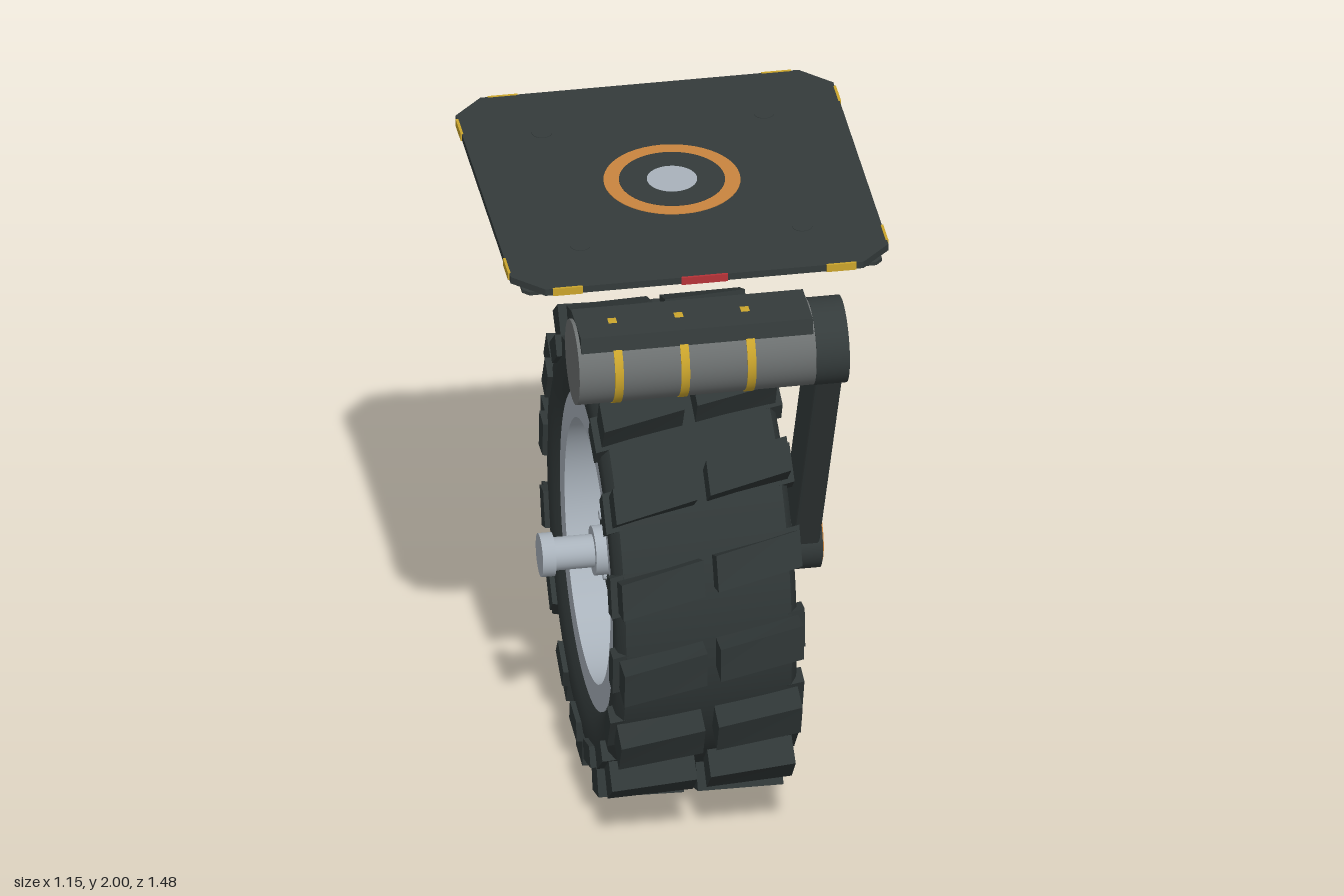
import * as THREE from 'three';
import { toCreasedNormals } from 'three/addons/utils/BufferGeometryUtils.js';

const mat = (name, color) => {
  const m = new THREE.MeshStandardMaterial({ color });
  m.name = name;
  return m;
};

export function createModel() {
  const dark = mat('dark paint', 0x343b3b);
  const rubber = mat('rubber', 0x2f3636);
  const black = mat('black panel', 0x1c2021);
  const grey = mat('grey casing', 0x6c7070);
  const metal = mat('light metal', 0xa9b2bb);
  const orange = mat('orange', 0xc9853f);
  const yellow = mat('yellow', 0xcba52c);
  const red = mat('red', 0xb63237);

  const model = new THREE.Group();
  const add = (name, geo, material, x = 0, y = 0, z = 0, parent = model) => {
    const m = new THREE.Mesh(geo, material);
    m.name = name;
    m.position.set(x, y, z);
    parent.add(m);
    return m;
  };
  const box = (w, h, d) => new THREE.BoxGeometry(w, h, d);
  const cyl = (r, h, n = 40) => new THREE.CylinderGeometry(r, r, h, n);
  const cylX = (r, x0, x1, n) => cyl(r, x1 - x0, n).rotateZ(-Math.PI / 2).translate((x0 + x1) / 2, 0, 0);
  // Lathe around x; profile entries are [radius, x]
  const latheX = (pts, n = 64) => toCreasedNormals(
    new THREE.LatheGeometry(pts.map(p => new THREE.Vector2(...p)), n).rotateZ(-Math.PI / 2), 0.6);
  const ringX = (r0, r1, x0, x1, n) => latheX([[r1, x0], [r1, x1], [r0, x1], [r0, x0], [r1, x0]], n);
  // Extrude a (z, y) outline along x
  const extrudeX = (pts, x0, x1, bevel = 0) => new THREE.ExtrudeGeometry(
    new THREE.Shape(pts.map(([z, y]) => new THREE.Vector2(-z, y))), {
      depth: x1 - x0 - 2 * bevel, bevelEnabled: bevel > 0, bevelSize: bevel,
      bevelThickness: bevel, bevelOffset: -bevel, bevelSegments: 2,
    }).rotateY(Math.PI / 2).translate(x0 + bevel, 0, 0);
  // Square plate with chamfered corners, between two heights
  const plate = (s, c, y0, y1) => {
    const k = s - c;
    const pts = [[k, -s], [s, -k], [s, k], [k, s], [-k, s], [-s, k], [-s, -k], [-k, -s]];
    return new THREE.ExtrudeGeometry(new THREE.Shape(pts.map(p => new THREE.Vector2(...p))),
      { depth: y1 - y0, bevelEnabled: false }).rotateX(-Math.PI / 2).translate(0, y0, 0);
  };

  // ---- Wheel ----
  const wheel = new THREE.Group();
  wheel.name = 'wheel';
  wheel.position.y = 0.74;
  model.add(wheel);
  const wadd = (name, geo, m) => add(name, geo, m, 0, 0, 0, wheel);

  wadd('tyre', latheX([
    [0.478, -0.25], [0.52, -0.268], [0.58, -0.275], [0.62, -0.27], [0.65, -0.25], [0.655, 0],
    [0.65, 0.25], [0.62, 0.27], [0.58, 0.275], [0.52, 0.268], [0.478, 0.25], [0.478, -0.25],
  ]), rubber);

  // A box bent round the axle, slanted along x
  const block = (x0, x1, r0, r1, angle, width, slant) => {
    const g = box(1, 1, 1), p = g.attributes.position;
    for (let i = 0; i < p.count; i++) {
      const x = x0 + (p.getX(i) + 0.5) * (x1 - x0);
      const r = r0 + (p.getY(i) + 0.5) * (r1 - r0);
      const t = angle + p.getZ(i) * width - slant * x;
      p.setXYZ(i, x, r * Math.cos(t), r * Math.sin(t));
    }
    g.computeVertexNormals();
    return g;
  };
  const deg = Math.PI / 180, lugs = 16, slant = 17 * deg;
  for (let i = 0; i < lugs; i++) {
    const a = i * 2 * Math.PI / lugs;
    wadd('treadLug', block(0.02, 0.27, 0.6, 0.742, a, 8.5 * deg, slant), rubber);
    wadd('treadLug', block(-0.27, -0.02, 0.6, 0.742, a, 8.5 * deg, slant), rubber);
    wadd('shoulderBlock', block(0.24, 0.29, 0.585, 0.65, a, 11 * deg, slant), rubber);
    wadd('shoulderBlock', block(-0.29, -0.24, 0.585, 0.65, a, 11 * deg, slant), rubber);
  }

  // Rim, disc and spokes, with open slots between disc and rim
  wadd('rim', ringX(0.4, 0.482, -0.255, 0.255), metal);
  wadd('wheelDisc', cylX(0.375, 0.15, 0.18, 64), metal);
  for (let i = 0; i < 6; i++) {
    const s = wadd('spoke', box(0.12, 0.32, 0.085).translate(0.08, 0.245, 0), grey);
    s.rotation.x = Math.PI / 2 + i * Math.PI / 3;
  }

  // Hub, flanges, bolts and axle
  wadd('hub', cylX(0.11, -0.16, 0.16), dark);
  wadd('outerFlange', cylX(0.16, 0.17, 0.2), dark);
  wadd('innerFlange', cylX(0.16, -0.19, -0.14), dark);
  for (let i = 0; i < 8; i++) {
    const a = (i + 0.5) * Math.PI / 4;
    const b = wadd('flangeBolt', cylX(0.014, -0.2, -0.18, 10), metal);
    b.position.set(0, 0.128 * Math.cos(a), 0.128 * Math.sin(a));
  }
  wadd('axle', cylX(0.05, -0.37, 0.36, 32), metal);
  wadd('axleCap', cylX(0.066, -0.4, -0.36, 32), metal);
  wadd('axleCollar', cylX(0.075, -0.24, -0.18, 32), metal);

  // ---- Swing arm ----
  const topY = 1.672, topZ = 0.46, hubY = 0.74;
  const len = Math.hypot(topZ, topY - hubY);
  const nz = (topY - hubY) / len, ny = -topZ / len; // sideways across the arm
  add('swingArm', extrudeX([
    [topZ + nz * 0.09, topY + ny * 0.09], [topZ - nz * 0.09, topY - ny * 0.09],
    [-nz * 0.085, hubY - ny * 0.085], [nz * 0.085, hubY + ny * 0.085],
  ], 0.347, 0.428, 0.008), dark);
  add('armTopCap', cylX(0.131, 0.335, 0.435, 48), dark, 0, topY, topZ);
  add('armHubCap', cylX(0.108, 0.335, 0.437, 48), dark, 0, hubY, 0);
  add('hubRing', ringX(0.064, 0.094, 0.434, 0.442, 48), orange, 0, hubY, 0);
  add('armMarker', box(0.009, 0.15, 0.06), yellow, 0.432, 1.277, 0.265)
    .rotation.x = Math.atan2(topZ, topY - hubY);

  // ---- Motor ----
  add('motor', cylX(0.129, -0.38, 0.335, 48), grey, 0, topY, topZ);
  for (const x of [-0.26, -0.06, 0.14])
    add('motorBand', ringX(0.12, 0.132, x - 0.013, x + 0.013, 48), yellow, 0, topY, topZ);
  add('motorTopPad', extrudeX([
    [0.365, 1.755], [0.375, 1.803], [0.55, 1.803], [0.56, 1.755],
  ].reverse(), -0.37, 0.33), dark);

  // ---- Mounting plate ----
  add('topPlate', plate(0.57, 0.09, 1.974, 1.996), dark);
  add('lowerFrame', plate(0.543, 0.02, 1.964, 1.975), dark);
  add('undersidePanel', plate(0.46, 0.01, 1.957, 1.966), black);
  const discY = (name, r, m, top, x = 0, z = 0) => add(name, cyl(r, 0.006, 48), m, x, top - 0.003, z);
  discY('pivotRing', 0.204, orange, 1.998);
  discY('pivotPlate', 0.158, dark, 1.999);
  discY('pivotCentre', 0.075, metal, 2.0);
  for (const sx of [-1, 1]) for (const sz of [-1, 1]) {
    discY('plateBolt', 0.03, dark, 1.998, sx * 0.335, sz * 0.335);
    add('cornerScrew', cyl(0.014, 0.02, 12), metal, sx * 0.48, 1.957, sz * 0.48);
    // Edge markers
    add('frontBackMarker', box(0.09, 0.024, 0.008), yellow, sx * 0.413, 1.985, sz * 0.57);
    add('sideMarker', box(0.008, 0.024, 0.09), yellow, sx * 0.57, 1.985, sz * 0.413);
  }
  add('frontMarker', box(0.14, 0.024, 0.008), red, 0, 1.985, 0.571);

  // ---- Underslung housing with red side strips ----
  add('housing', extrudeX([
    [-0.245, 1.792], [0.245, 1.792], [0.265, 1.81], [0.278, 1.87], [0.262, 1.925], [0.235, 1.965],
    [-0.235, 1.965], [-0.262, 1.925], [-0.278, 1.87], [-0.265, 1.81],
  ].reverse(), -0.45, 0.45, 0.02), grey);
  for (const s of [-1, 1])
    add('housingStrip', box(0.86, 0.084, 0.009), red, 0, 1.858, s * 0.284);

  return model;
}
